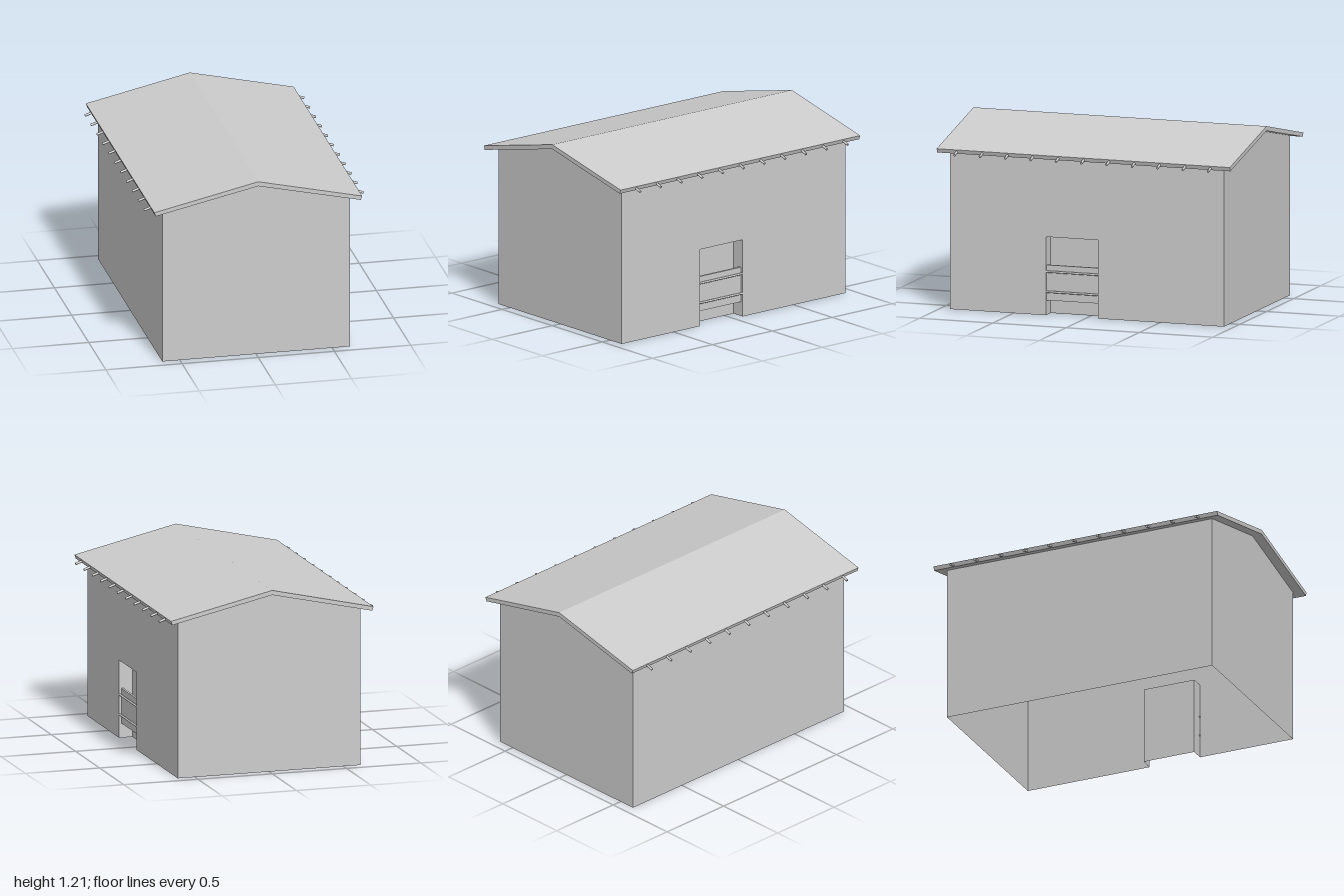
import * as THREE from 'three';

const W = 0.615, D = 0.935;              // half width and half depth of the walls
const EAVE = 1.037, RIDGE = 1.175;       // wall top at the sides and at the ridge
const Z0 = -0.075, Z1 = 0.28, DOOR_H = 0.51, DEPTH = 0.09;

const mat = new THREE.MeshStandardMaterial({ color: 0xcccccc });
const thin = new THREE.MeshStandardMaterial({ color: 0xcccccc, side: THREE.DoubleSide });

function add(parent, name, geometry, material = mat) {
  const mesh = new THREE.Mesh(geometry, material);
  mesh.name = name;
  parent.add(mesh);
  return mesh;
}

const polygon = (pts) => new THREE.Shape(pts.map(([x, y]) => new THREE.Vector2(x, y)));

export function createModel() {
  const house = new THREE.Group();
  house.name = 'house';

  // Gable walls, single sheets with an open floor between them
  const gable = polygon([[-W, 0], [W, 0], [W, EAVE], [0, RIDGE], [-W, EAVE]]);
  add(house, 'frontWall', new THREE.ShapeGeometry(gable), thin).position.z = D;
  const back = add(house, 'backWall', new THREE.ShapeGeometry(gable), thin);
  back.rotation.y = Math.PI;
  back.position.z = -D;

  // Side walls; the shape's x axis runs along -z on the model's left
  const plain = polygon([[-D, 0], [D, 0], [D, EAVE], [-D, EAVE]]);
  const cut = polygon([[-D, 0], [-Z1, 0], [-Z1, DOOR_H], [-Z0, DOOR_H], [-Z0, 0],
    [D, 0], [D, EAVE], [-D, EAVE]]);
  [[1, 'doorWall', cut], [-1, 'plainWall', plain]].forEach(([s, name, shape]) => {
    const wall = add(house, name, new THREE.ShapeGeometry(shape), thin);
    wall.rotation.y = s * Math.PI / 2;
    wall.position.x = s * W;
  });

  // Doorway recess: back, two jambs and lintel, without a floor
  const doorway = new THREE.Group();
  doorway.name = 'doorway';
  house.add(doorway);
  const width = Z1 - Z0, mid = (Z0 + Z1) / 2;
  const recess = add(doorway, 'recessBack', new THREE.PlaneGeometry(width, DOOR_H), thin);
  recess.rotation.y = Math.PI / 2;
  recess.position.set(W - DEPTH, DOOR_H / 2, mid);
  for (const [z, turn] of [[Z0, 0], [Z1, Math.PI]]) {
    const jamb = add(doorway, 'jamb', new THREE.PlaneGeometry(DEPTH, DOOR_H), thin);
    jamb.rotation.y = turn;
    jamb.position.set(W - DEPTH / 2, DOOR_H / 2, z);
  }
  const lintel = add(doorway, 'lintel', new THREE.PlaneGeometry(DEPTH, width), thin);
  lintel.rotation.x = Math.PI / 2;
  lintel.position.set(W - DEPTH / 2, DOOR_H, mid);

  // Low hatch board with two slim rails
  add(doorway, 'hatch', new THREE.BoxGeometry(0.015, 0.23, width))
    .position.set(W - 0.022, 0.21, mid);
  for (const y of [0.152, 0.283]) {
    const rail = add(doorway, 'rail', new THREE.CylinderGeometry(0.007, 0.007, width + 0.006, 12));
    rail.rotation.x = Math.PI / 2;
    rail.position.set(W - 0.006, y, mid);
  }

  // Roof slab, bent at the ridge
  const slab = polygon([[-0.673, 1.024], [0, RIDGE], [0.673, 1.024],
    [0.682, 1.05], [0, 1.205], [-0.682, 1.05]]);
  add(house, 'roof', new THREE.ExtrudeGeometry(slab, { depth: 2, bevelEnabled: false }))
    .position.z = -1;

  // Rafter ends along both eaves
  const rod = new THREE.CylinderGeometry(0.008, 0.008, 0.08, 10);
  for (const s of [-1, 1]) {
    for (let i = -5; i <= 5; i++) {
      const rafter = add(house, 'rafterEnd', rod);
      rafter.rotation.z = s * (Math.PI / 2 - 0.33);
      rafter.rotation.z = -s * (Math.PI / 2 + 0.33);
      rafter.position.set(s * 0.681, 1.034, i * 0.173);
    }
  }
  return house;
}
